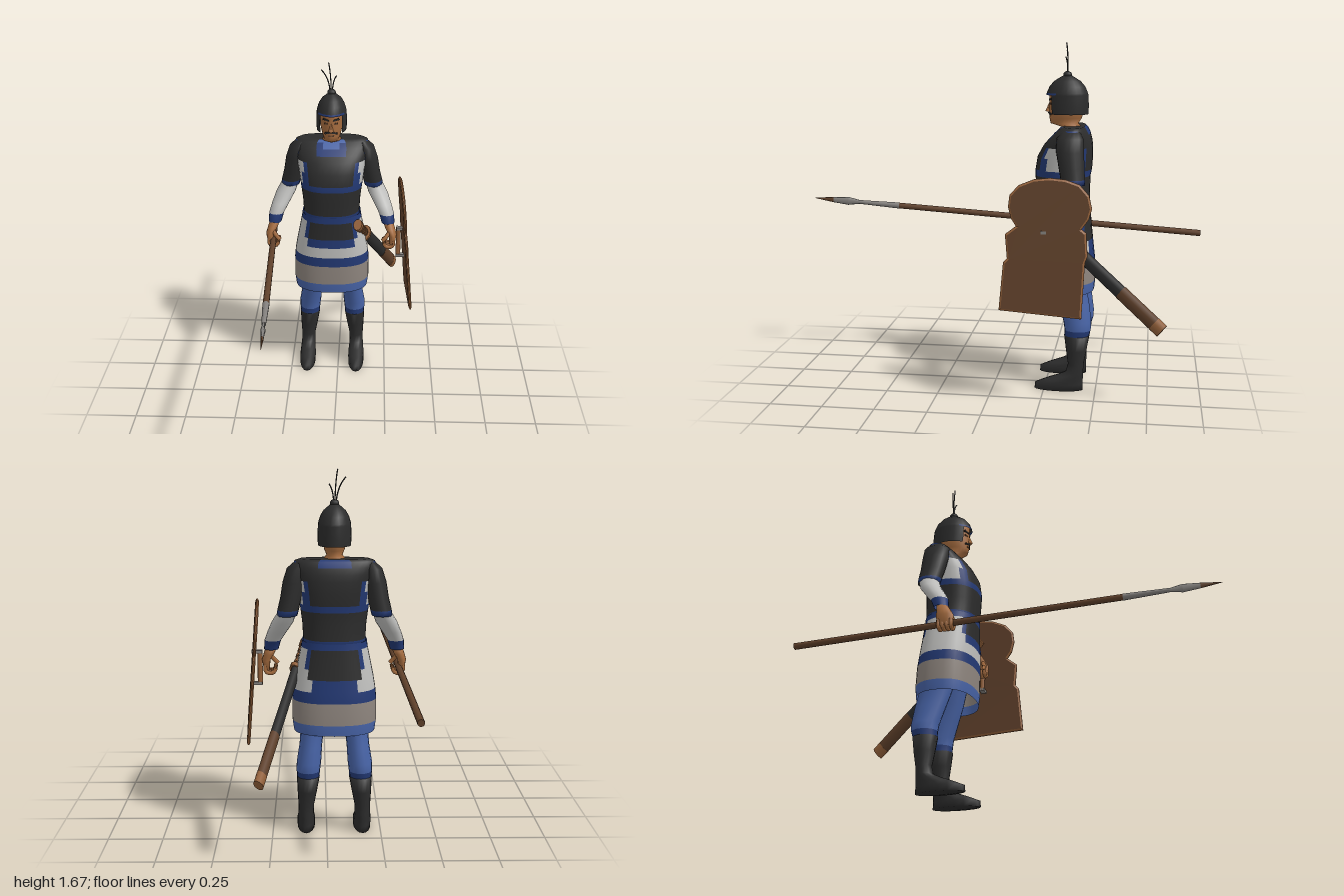
import * as THREE from 'three';

const C = -0.035; // x of the body's middle plane
const mat = (name, color) => {
  const m = new THREE.MeshStandardMaterial({ color, side: THREE.DoubleSide });
  m.name = name;
  return m;
};
const black = mat('black armour', 0x2c2c2c), navy = mat('navy trim', 0x233974), blue = mat('blue cloth', 0x4763a6);
const white = mat('pale cloth', 0xbebebc), beige = mat('beige cloth', 0x8e857e), skin = mat('skin', 0xa56c3f);
const brown = mat('brown wood', 0x60412b), tan = mat('tan wood', 0x95623b), steel = mat('steel', 0x85827f);

// Joins horizontal rings [y, dx, z, rx, rz] from low to high; pick chooses each face's material (null = hole)
function loft(name, rings, pick, { side = 1, seg = 24, p = 1, cap = false } = {}) {
  const pos = [], lists = new Map();
  const pow = v => Math.sign(v) * Math.abs(v) ** p;
  for (const [y, dx, z, rx, rz] of rings) {
    for (let j = 0; j < seg; j++) {
      const a = j / seg * Math.PI * 2;
      pos.push(C + side * dx + rx * pow(Math.sin(a)), y, z + rz * pow(Math.cos(a)));
    }
  }
  const add = (m, ...ids) => {
    if (!lists.has(m)) lists.set(m, []);
    lists.get(m).push(...ids);
  };
  for (let i = 0; i < rings.length - 1; i++) {
    for (let j = 0; j < seg; j++) {
      const k = (j + 1) % seg, a = i * seg + j, b = i * seg + k, c = b + seg, d = a + seg;
      const dx = Math.abs((pos[a * 3] + pos[b * 3] + pos[c * 3] + pos[d * 3]) / 4 - C);
      const front = Math.cos((j + 0.5) / seg * Math.PI * 2) > 0;
      const m = pick.isMaterial ? pick : pick((rings[i][0] + rings[i + 1][0]) / 2, dx, front);
      if (m) add(m, a, b, c, a, c, d);
    }
  }
  if (cap) {
    const t = (rings.length - 1) * seg, m = pick.isMaterial ? pick : cap;
    for (let j = 1; j < seg - 1; j++) add(m, t, t + j, t + j + 1, 0, j + 1, j);
  }
  const g = new THREE.BufferGeometry(), index = [], mats = [...lists.keys()];
  mats.forEach((m, n) => {
    g.addGroup(index.length, lists.get(m).length, n);
    index.push(...lists.get(m));
  });
  g.setAttribute('position', new THREE.Float32BufferAttribute(pos, 3));
  g.setIndex(index);
  g.computeVertexNormals();
  const mesh = new THREE.Mesh(g, mats);
  mesh.name = name;
  return mesh;
}

function part(name, geo, m, x = 0, y = 0, z = 0) {
  const mesh = new THREE.Mesh(geo, m);
  mesh.name = name;
  mesh.position.set(x, y, z);
  return mesh;
}
const box = (name, m, w, h, d, x, y, z) => part(name, new THREE.BoxGeometry(w, h, d), m, x, y, z);
// Tapered rod lying along local z, from z0 to z1
function rod(name, m, r0, r1, z0, z1, flatX = 1, flatY = 1) {
  const g = new THREE.CylinderGeometry(r1, r0, z1 - z0, 10);
  g.rotateX(Math.PI / 2).scale(flatX, flatY, 1);
  return part(name, g, m, 0, 0, (z0 + z1) / 2);
}

function makeBody(g) {
  g.add(loft('torso', [
    [0.88, 0, -0.325, 0.146, 0.128], [0.91, 0, -0.325, 0.142, 0.127], [0.98, 0, -0.322, 0.146, 0.13],
    [1.04, 0, -0.322, 0.154, 0.132], [1.07, 0, -0.325, 0.158, 0.135], [1.13, 0, -0.332, 0.166, 0.132],
    [1.18, 0, -0.345, 0.175, 0.118], [1.21, 0, -0.355, 0.182, 0.103], [1.24, 0, -0.365, 0.186, 0.085],
    [1.265, 0, -0.372, 0.18, 0.065], [1.275, 0, -0.375, 0.155, 0.05]],
  (y, dx, front) => {
    if (y < 0.91 || (y > 1.04 && y < 1.07)) return navy;
    if (y > 1.07 && y < 1.18) return dx > 0.14 ? white : dx > 0.118 ? navy : black;
    if (y > (front ? 1.21 : 1.24) && dx < 0.08) return front && dx < 0.055 && y > 1.24 ? blue : navy;
    return y > 1.18 && dx > 0.168 ? navy : black;
  }, { seg: 36, p: 0.85, cap: black }));

  // Layered skirt with a dark panel at front and back
  g.add(loft('skirt', [
    [0.48, 0, -0.34, 0.186, 0.14], [0.53, 0, -0.34, 0.193, 0.145], [0.63, 0, -0.338, 0.193, 0.143],
    [0.68, 0, -0.335, 0.188, 0.14], [0.735, 0, -0.332, 0.179, 0.137], [0.78, 0, -0.33, 0.17, 0.134],
    [0.87, 0, -0.326, 0.152, 0.13], [0.9, 0, -0.325, 0.148, 0.129]],
  (y, dx, front) => {
    if (y < 0.53) return blue;
    if (y < 0.63) return beige;
    if (y < 0.68 || y > 0.87) return navy;
    if (y < 0.735) return !front && dx < 0.11 ? navy : white;
    if (y < 0.78) return dx < 0.125 ? (front ? navy : black) : white;
    return dx < 0.11 ? black : dx < 0.13 ? navy : white;
  }, { seg: 36, p: 0.85 }));
}

function makeHead(g) {
  g.add(loft('head', [
    [1.22, 0, -0.365, 0.075, 0.06], [1.27, 0, -0.36, 0.052, 0.05], [1.285, 0, -0.325, 0.036, 0.066],
    [1.31, 0, -0.33, 0.046, 0.077], [1.35, 0, -0.335, 0.055, 0.084], [1.44, 0, -0.335, 0.056, 0.084]], skin));
  const nose = part('nose', new THREE.ConeGeometry(0.014, 0.05, 4), skin, C, 1.365, -0.25);
  nose.rotation.x = -0.15;
  g.add(nose, box('mouth', brown, 0.03, 0.006, 0.008, C, 1.318, -0.257));
  for (const s of [-1, 1]) {
    const brow = box('eyebrow', black, 0.032, 0.008, 0.009, C + s * 0.024, 1.4, -0.26);
    const eye = box('eye', brown, 0.02, 0.008, 0.008, C + s * 0.023, 1.38, -0.261);
    const moustache = box('moustache', black, 0.03, 0.008, 0.009, C + s * 0.016, 1.334, -0.256);
    brow.rotation.set(0, s * 0.4, s * 0.15);
    eye.rotation.y = s * 0.4;
    moustache.rotation.set(0, s * 0.35, -s * 0.25);
    g.add(brow, eye, moustache);
  }
  // Helmet with an open face
  g.add(loft('helmet', [
    [1.33, 0, -0.34, 0.074, 0.098], [1.37, 0, -0.338, 0.076, 0.102], [1.42, 0, -0.337, 0.074, 0.1],
    [1.43, 0, -0.337, 0.073, 0.098], [1.46, 0, -0.337, 0.064, 0.085], [1.485, 0, -0.337, 0.049, 0.064],
    [1.503, 0, -0.337, 0.028, 0.036], [1.512, 0, -0.337, 0.016, 0.02]],
  (y, dx, front) => front && dx < 0.058 ? (y < 1.42 ? null : y < 1.43 ? navy : black) : black));
  const knob = part('helmetKnob', new THREE.SphereGeometry(0.021, 12, 8), black, C, 1.516, -0.337);
  knob.scale.y = 0.8;
  g.add(knob);
  for (const [dx, top] of [[-0.05, 1.63], [-0.014, 1.665], [0.024, 1.6]]) {
    const curve = new THREE.QuadraticBezierCurve3(
      new THREE.Vector3(C + dx * 0.15, 1.52, -0.337), new THREE.Vector3(C + dx * 0.25, (top + 1.55) / 2, -0.34),
      new THREE.Vector3(C + dx, top, -0.33));
    g.add(part('plume', new THREE.TubeGeometry(curve, 8, 0.003, 5), black));
  }
}

function makeLimbs(g, side) {
  const o = { side, seg: 16 };
  g.add(loft('leg', [
    [0.27, 0.12, -0.406, 0.051, 0.058], [0.3, 0.12, -0.41, 0.054, 0.063], [0.34, 0.117, -0.408, 0.056, 0.067],
    [0.42, 0.108, -0.39, 0.052, 0.075], [0.5, 0.1, -0.37, 0.054, 0.08], [0.66, 0.085, -0.35, 0.075, 0.095]],
  y => y < 0.3 ? navy : blue, o));
  g.add(loft('boot', [
    [0, 0.131, -0.322, 0.041, 0.118], [0.03, 0.131, -0.323, 0.042, 0.116], [0.05, 0.131, -0.347, 0.041, 0.092],
    [0.07, 0.131, -0.376, 0.038, 0.064], [0.09, 0.131, -0.398, 0.036, 0.042], [0.13, 0.13, -0.404, 0.036, 0.038],
    [0.2, 0.125, -0.405, 0.045, 0.05], [0.272, 0.12, -0.405, 0.053, 0.06]], black, { ...o, cap: true }));
  g.add(loft('sleeve', [
    [1.02, 0.213, -0.385, 0.047, 0.055], [1.045, 0.208, -0.383, 0.048, 0.057], [1.1, 0.195, -0.375, 0.048, 0.06],
    [1.17, 0.182, -0.367, 0.05, 0.065], [1.23, 0.17, -0.365, 0.043, 0.063], [1.262, 0.152, -0.368, 0.025, 0.04]],
  y => y < 1.045 ? navy : black, { ...o, cap: black }));
  g.add(loft('forearm', [
    [0.845, 0.289, -0.293, 0.033, 0.035], [0.89, 0.281, -0.305, 0.038, 0.042], [0.935, 0.26, -0.335, 0.044, 0.047],
    [0.985, 0.235, -0.368, 0.049, 0.05], [1.035, 0.212, -0.387, 0.043, 0.05]],
  y => y < 0.89 ? navy : white, o));
  // Curled hand: palm, four bent fingers and a thumb
  g.add(loft('palm', [
    [0.74, 0.312, -0.265, 0.013, 0.035], [0.79, 0.314, -0.268, 0.02, 0.043], [0.82, 0.3, -0.278, 0.025, 0.035],
    [0.855, 0.288, -0.29, 0.026, 0.027]], skin, { ...o, cap: true }));
  const at = (dx, y, z) => new THREE.Vector3(C + side * dx, y, z);
  for (let i = 0; i < 4; i++) {
    const z = -0.297 + i * 0.02;
    const path = new THREE.CatmullRomCurve3([
      at(0.317, 0.77, z), at(0.316, 0.74, z), at(0.295, 0.73, z), at(0.275, 0.738, z), at(0.27, 0.757, z)]);
    g.add(part('finger', new THREE.TubeGeometry(path, 8, 0.0105, 6), skin));
  }
  const thumb = new THREE.CatmullRomCurve3([at(0.3, 0.81, -0.255), at(0.28, 0.785, -0.24), at(0.262, 0.765, -0.235)]);
  g.add(part('thumb', new THREE.TubeGeometry(thumb, 6, 0.011, 6), skin));
}

function makeSpear() {
  const g = new THREE.Group();
  g.name = 'spear';
  g.position.set(-0.37, 0.7, -1);
  g.lookAt(-0.27, 0.85, 1);
  g.add(rod('shaft', brown, 0.016, 0.015, 0.002, 1.56), rod('socket', steel, 0.016, 0.01, 1.56, 1.77),
    rod('bladeBase', steel, 0.01, 0.021, 1.77, 1.83, 0.5), rod('blade', steel, 0.021, 0.014, 1.83, 1.91, 0.45),
    rod('bladeTip', brown, 0.014, 0.001, 1.91, 2.008, 0.45));
  return g;
}

function makeSword() {
  const g = new THREE.Group();
  g.name = 'sheathedSword';
  g.position.set(0.1, 0.86, -0.22);
  g.lookAt(0.293, 0.37, -0.81);
  g.add(rod('pommel', tan, 0.03, 0.03, 0, 0.03, 0.75), rod('grip', brown, 0.021, 0.021, 0.03, 0.15, 0.8),
    rod('guard', tan, 0.042, 0.042, 0.15, 0.17, 0.7), rod('scabbard', black, 0.033, 0.034, 0.17, 0.53, 0.6),
    rod('scabbardEnd', brown, 0.036, 0.036, 0.53, 0.74, 0.6), rod('scabbardTip', tan, 0.037, 0.036, 0.74, 0.79, 0.6));
  for (let i = 0; i < 3; i++) g.add(rod('gripRing', tan, 0.025, 0.025, 0.05 + i * 0.035, 0.062 + i * 0.035, 0.8));
  return g;
}

function makeShield() {
  const g = new THREE.Group();
  g.name = 'shield';
  // Outline as (z, y): square body below, rounded head above
  const outline = [[-0.075, 0.472], [-0.435, 0.44], [-0.446, 0.69], [-0.457, 0.72], [-0.45, 0.82], [-0.425, 0.84],
    [-0.46, 0.89], [-0.473, 0.935], [-0.46, 0.99], [-0.42, 1.035], [-0.36, 1.056], [-0.29, 1.063], [-0.22, 1.056],
    [-0.155, 1.03], [-0.118, 0.99], [-0.112, 0.94], [-0.125, 0.89], [-0.152, 0.85], [-0.12, 0.825], [-0.1, 0.81],
    [-0.11, 0.7], [-0.092, 0.68]].map(p => new THREE.Vector2(...p));
  const geo = new THREE.ExtrudeGeometry(new THREE.Shape(outline), {
    depth: 0.006, bevelEnabled: true, bevelSize: 0.009, bevelThickness: 0.005, bevelSegments: 1 });
  geo.rotateY(-Math.PI / 2);
  // Lean outwards at the foot and slightly at the front
  const p = geo.attributes.position;
  for (let i = 0; i < p.count; i++) {
    p.setX(i, p.getX(i) + 0.367 - (p.getY(i) - 0.435) * 0.075 + (p.getZ(i) + 0.28) * 0.05);
  }
  geo.computeVertexNormals();
  g.add(part('board', geo, [brown, tan]));
  g.add(part('handle', new THREE.CylinderGeometry(0.012, 0.012, 0.16, 8), tan, 0.308, 0.75, -0.265));
  for (const y of [0.675, 0.825]) g.add(box('handleBracket', steel, 0.05, 0.014, 0.025, 0.322, y, -0.265));
  return g;
}

export function createModel() {
  const model = new THREE.Group();
  model.name = 'spearman';
  makeBody(model);
  makeHead(model);
  for (const side of [-1, 1]) makeLimbs(model, side);
  model.add(makeSpear(), makeSword(), makeShield());
  return model;
}
